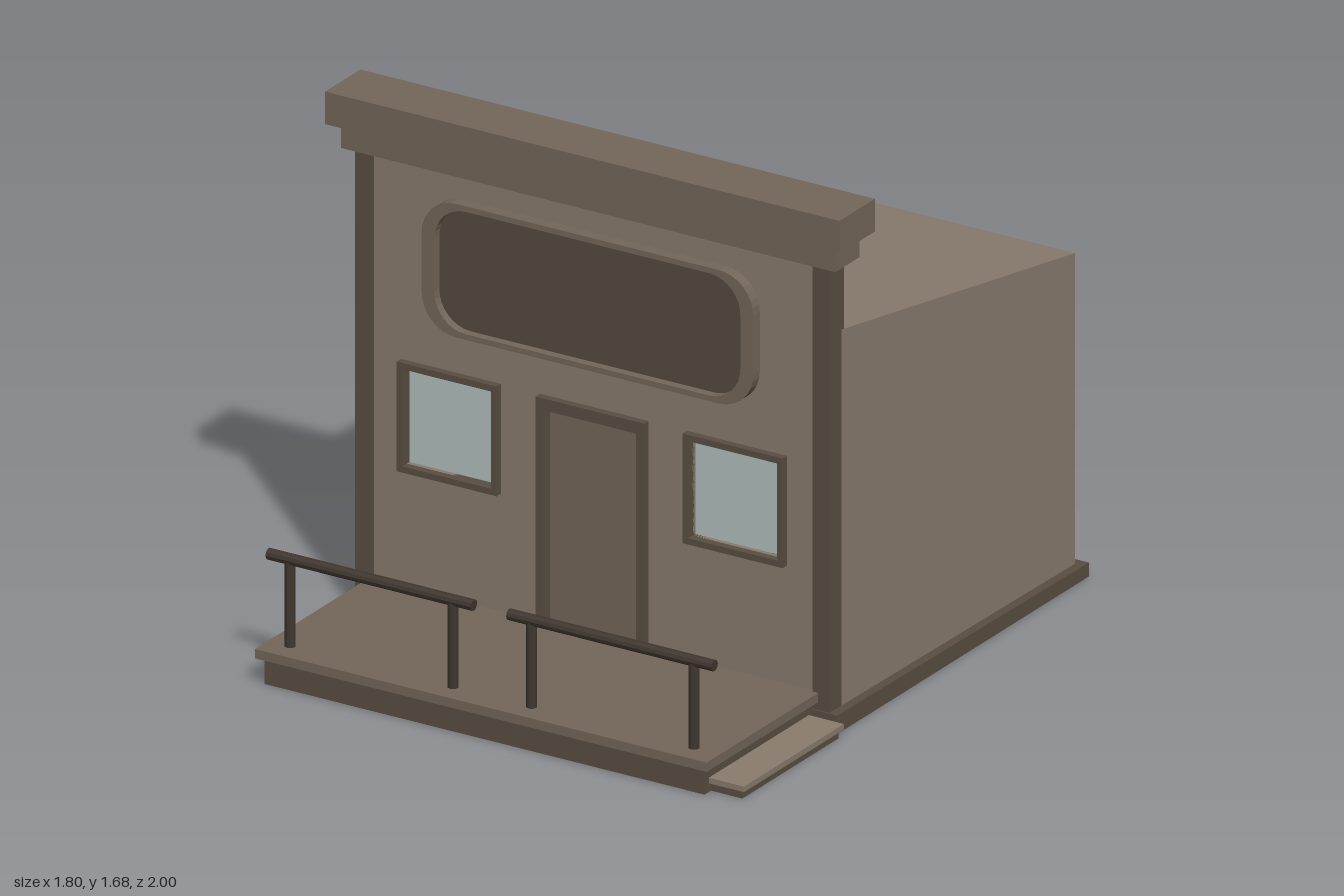
import * as THREE from 'three';

const mat = (color) => new THREE.MeshStandardMaterial({ color, flatShading: true });

export function createModel() {
  const model = new THREE.Group();
  const wallMat = mat(0x8b7d6f), trimMat = mat(0x5a4e42), corniceMat = mat(0x74675a);
  const darkMat = mat(0x564a3f), railMat = mat(0x40372f), glassMat = mat(0xb4c2c0);

  const add = (name, geometry, material, parent = model) => {
    const mesh = new THREE.Mesh(geometry, material);
    mesh.name = name;
    parent.add(mesh);
    return mesh;
  };
  // Box given by its limits on each axis
  const box = (name, material, [x0, x1], [y0, y1], [z0, z1], parent) => {
    const mesh = add(name, new THREE.BoxGeometry(x1 - x0, y1 - y0, z1 - z0), material, parent);
    mesh.position.set((x0 + x1) / 2, (y0 + y1) / 2, (z0 + z1) / 2);
    return mesh;
  };
  // Rectangle outline with optional rounded corners
  const rect = (x0, x1, y0, y1, r = 0, Type = THREE.Shape) => {
    const s = new Type();
    if (!r) return s.setFromPoints([[x0, y0], [x1, y0], [x1, y1], [x0, y1], [x0, y0]].map((p) => new THREE.Vector2(...p)));
    s.absarc(x1 - r, y0 + r, r, -Math.PI / 2, 0);
    s.absarc(x1 - r, y1 - r, r, 0, Math.PI / 2);
    s.absarc(x0 + r, y1 - r, r, Math.PI / 2, Math.PI);
    s.absarc(x0 + r, y0 + r, r, Math.PI, Math.PI * 1.5);
    s.closePath();
    return s;
  };
  // Plate in the front plane with holes, between two depths
  const plate = (name, material, shape, holes, z0, z1, parent) => {
    shape.holes.push(...holes);
    const g = new THREE.ExtrudeGeometry(shape, { depth: z1 - z0, bevelEnabled: false, curveSegments: 4 });
    return add(name, g.translate(0, 0, z0), material, parent);
  };
  // Side profile (z, y) extruded across the full width
  const sideProfile = (name, material, points, half) => {
    const s = new THREE.Shape(points.map(([z, y]) => new THREE.Vector2(-z, y)));
    const g = new THREE.ExtrudeGeometry(s, { depth: 2 * half, bevelEnabled: false });
    return add(name, g.translate(0, 0, -half).rotateY(Math.PI / 2), material);
  };

  // Plinth and main body with its sloping roof
  sideProfile('plinth', trimMat, [[0.39, 0], [0.39, 0.06], [-1, 0.045], [-1, 0]], 0.86);
  sideProfile('body', wallMat, [[0.32, 0.03], [0.32, 1.27], [-0.97, 1.045], [-0.97, 0.03]], 0.83);

  // Tall false front with openings for door and windows
  const hole = (x0, x1, y0, y1, r) => rect(x0, x1, y0, y1, r, THREE.Path);
  const windowX = [-0.5, 0.5];
  plate('falseFront', wallMat, rect(-0.78, 0.78, 0.05, 1.5), [
    hole(-0.165, 0.165, 0.1, 0.81),
    ...windowX.map((x) => hole(x - 0.155, x + 0.155, 0.515, 0.83)),
  ], 0.32, 0.375);
  for (const s of [-1, 1]) {
    const x = [0.77 * s, 0.83 * s].sort((a, b) => a - b);
    box('cornerPost', trimMat, x, [0.05, 1.5], [0.305, 0.385]);
  }

  // Stepped cornice
  box('lowerCornice', corniceMat, [-0.865, 0.865], [1.495, 1.575], [0.275, 0.408]);
  box('upperCornice', corniceMat, [-0.9, 0.9], [1.575, 1.68], [0.245, 0.44]);

  // Rounded blank sign board
  plate('signFrame', corniceMat, rect(-0.58, 0.58, 0.98, 1.41, 0.12),
    [hole(-0.535, 0.535, 0.998, 1.392, 0.11)], 0.37, 0.412);
  plate('signPanel', darkMat, rect(-0.55, 0.55, 0.99, 1.4, 0.11), [], 0.37, 0.385);

  // Windows
  for (const x of windowX) {
    const win = new THREE.Group();
    win.name = 'window';
    model.add(win);
    plate('windowFrame', trimMat, rect(x - 0.175, x + 0.175, 0.495, 0.848),
      [hole(x - 0.155, x + 0.155, 0.515, 0.828)], 0.35, 0.4, win);
    box('glass', glassMat, [x - 0.16, x + 0.16], [0.51, 0.835], [0.33, 0.36], win);
  }

  // Door
  plate('doorFrame', trimMat, rect(-0.19, 0.19, 0.1, 0.848), [hole(-0.163, 0.163, 0.1005, 0.81)], 0.35, 0.4);
  box('door', corniceMat, [-0.17, 0.17], [0.1, 0.82], [0.33, 0.36]);

  // Porch with a low side step
  box('porchBase', trimMat, [-0.77, 0.77], [0, 0.085], [0.38, 0.98]);
  box('porchFloor', corniceMat, [-0.79, 0.79], [0.085, 0.115], [0.37, 1]);
  box('stepBase', trimMat, [0.76, 0.88], [0, 0.028], [0.415, 0.945]);
  box('stepTread', wallMat, [0.76, 0.893], [0.028, 0.046], [0.405, 0.957]);

  // Hitching rails on two posts each
  for (const [x0, x1, posts] of [[-0.79, -0.072, [-0.715, -0.145]], [0.052, 0.77, [0.13, 0.698]]]) {
    const rail = new THREE.Group();
    rail.name = 'hitchingRail';
    model.add(rail);
    const bar = add('bar', new THREE.CylinderGeometry(0.018, 0.018, x1 - x0, 10), railMat, rail);
    bar.rotation.z = Math.PI / 2;
    bar.position.set((x0 + x1) / 2, 0.395, 0.925);
    for (const x of posts) {
      const post = add('railPost', new THREE.CylinderGeometry(0.017, 0.017, 0.28, 10), railMat, rail);
      post.position.set(x, 0.25, 0.925);
    }
  }
  return model;
}
